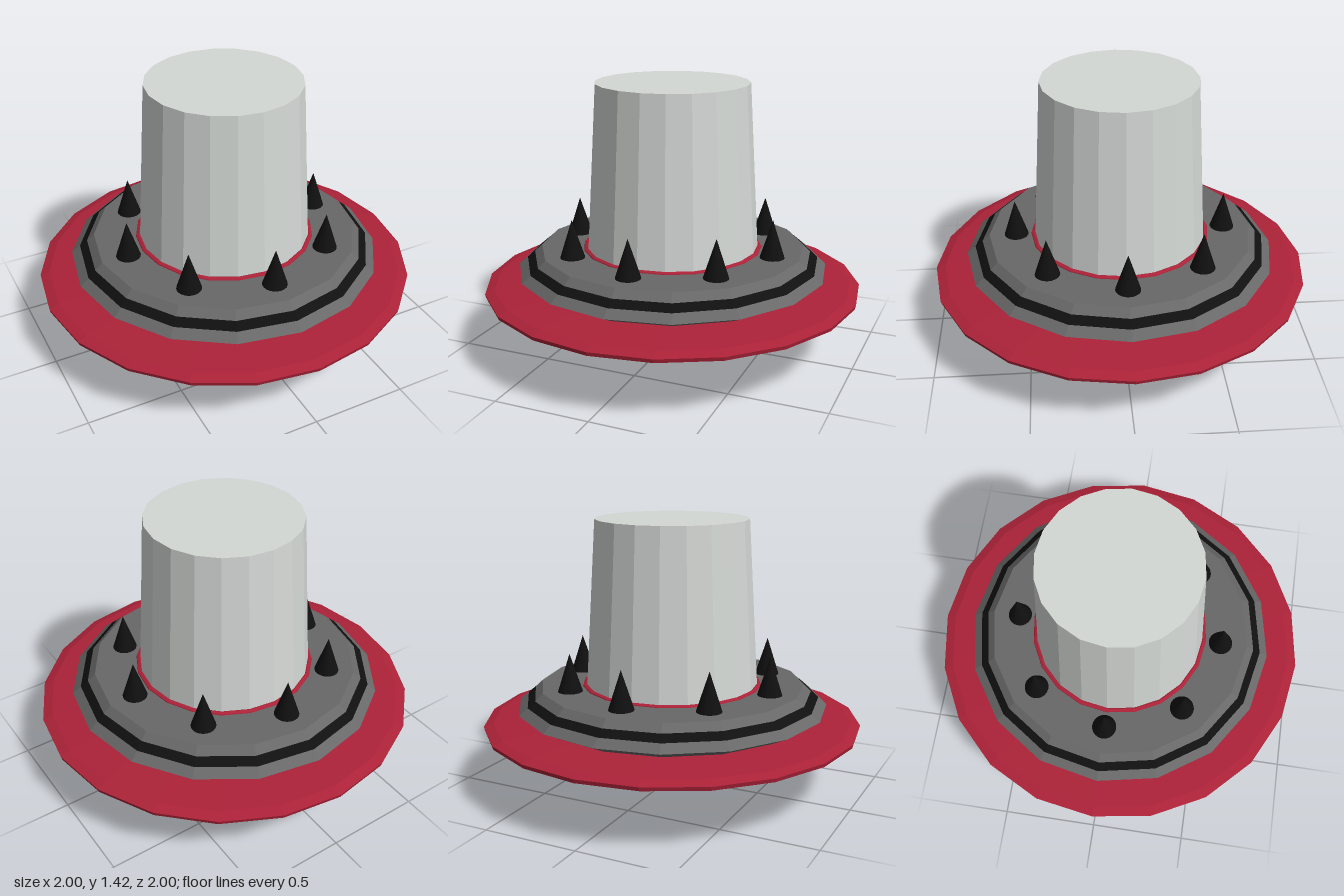
import * as THREE from 'three';

const mat = (name, color, extra = {}) =>
  new THREE.MeshStandardMaterial({ name, color, flatShading: true, ...extra });

export function createModel() {
  const red = mat('red', 0xac2238);
  const grey = mat('grey', 0x686868);
  const black = mat('black', 0x101010);
  const pale = mat('paleGrey', 0xd4d8d5);
  const paleInside = pale;
  const teal = mat('teal', 0x78b8c0);

  const model = new THREE.Group();
  const add = (name, geometry, material, parent = model) => {
    const mesh = new THREE.Mesh(geometry, material);
    mesh.name = name;
    parent.add(mesh);
    return mesh;
  };
  // Turned part from [radius, height] pairs, listed so the surface faces outward
  const turned = (name, profile, material, sides = 16) =>
    add(name, new THREE.LatheGeometry(profile.map(([r, y]) => new THREE.Vector2(r, y)), sides), material);

  // Underside: black base with a recessed lens, then the grey bowl
  turned('lensWall', [[0.19, 0.05], [0.195, 0]], paleInside, 20);
  turned('base', [[0.195, 0], [0.2, 0], [0.375, 0.075]], black, 20);
  const lens = add('lens', new THREE.CircleGeometry(0.192, 20), teal);
  lens.rotation.x = Math.PI / 2;
  lens.position.y = 0.05;
  turned('bowl', [[0.375, 0.075], [0.63, 0.295]], grey, 20);
  turned('collar', [[0.6, 0.285], [0.64, 0.285], [0.68, 0.298], [0.68, 0.31]], black, 20);

  // Wide red brim
  turned('brim', [[0.5, 0.3], [0.65, 0.302], [0.93, 0.312], [0.995, 0.328], [1, 0.348],
    [0.95, 0.365], [0.6, 0.39], [0.4, 0.392]], red, 20);

  // Upper disc with a black stripe around its bevel
  turned('discLower', [[0.6, 0.375], [0.73, 0.39], [0.825, 0.437], [0.78, 0.475]], grey);
  turned('discStripe', [[0.78, 0.475], [0.74, 0.508]], black);
  turned('discUpper', [[0.74, 0.508], [0.7, 0.545], [0.3, 0.548]], grey);

  // Tapered tower with a red ring at its foot
  const tower = add('tower', new THREE.CylinderGeometry(0.4, 0.456, 0.9, 20), pale);
  tower.position.y = 0.97;
  const footRing = add('footRing', new THREE.TorusGeometry(0.46, 0.02, 8, 20), red);
  footRing.rotation.x = Math.PI / 2;
  footRing.position.y = 0.537;

  // Eight spikes around the tower
  for (let i = 0; i < 8; i++) {
    const a = (i * Math.PI) / 4;
    const spike = add('spike', new THREE.ConeGeometry(0.066, 0.205, 20), black);
    spike.position.set(0.555 * Math.cos(a), 0.643, 0.555 * Math.sin(a));
  }

  // Two red rings lying on the slope of the bowl
  const slope = new THREE.Vector3(0.653, -0.757, 0);
  for (const a of [0, (2 * Math.PI) / 3]) {
    const port = new THREE.Group();
    port.name = 'portRing';
    port.rotation.y = a;
    const ring = add('ring', new THREE.TorusGeometry(0.06, 0.026, 12, 24), red, port);
    ring.position.set(0.541, 0.215, 0);
    ring.quaternion.setFromUnitVectors(new THREE.Vector3(0, 0, 1), slope);
    model.add(port);
  }
  return model;
}
